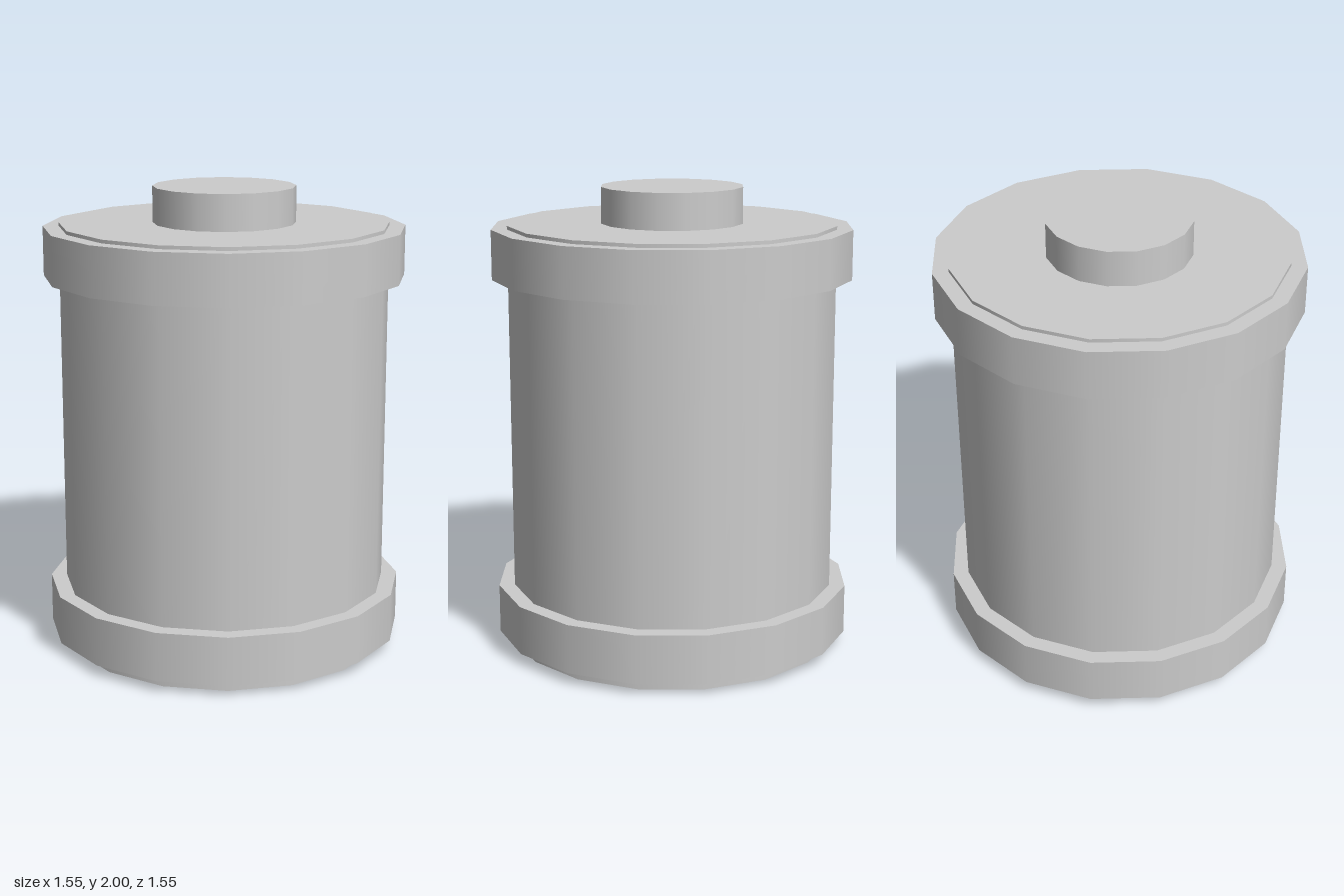
import * as THREE from 'three';

export function createModel() {
  const group = new THREE.Group();
  const grey = new THREE.MeshStandardMaterial({ color: 0xcccccc });
  grey.name = 'light grey';

  // 16-sided upright cylinder spanning two heights
  const addCylinder = (name, radius, bottom, top) => {
    const mesh = new THREE.Mesh(new THREE.CylinderGeometry(radius, radius, top - bottom, 16), grey);
    mesh.name = name;
    mesh.position.y = (bottom + top) / 2;
    group.add(mesh);
  };

  addCylinder('body', 0.706, 0, 1.845);
  addCylinder('lowerBand', 0.774, 0.05, 0.262);
  addCylinder('upperBand', 0.774, 1.618, 1.83);
  addCylinder('topTerminal', 0.306, 1.83, 2);

  return group;
}
